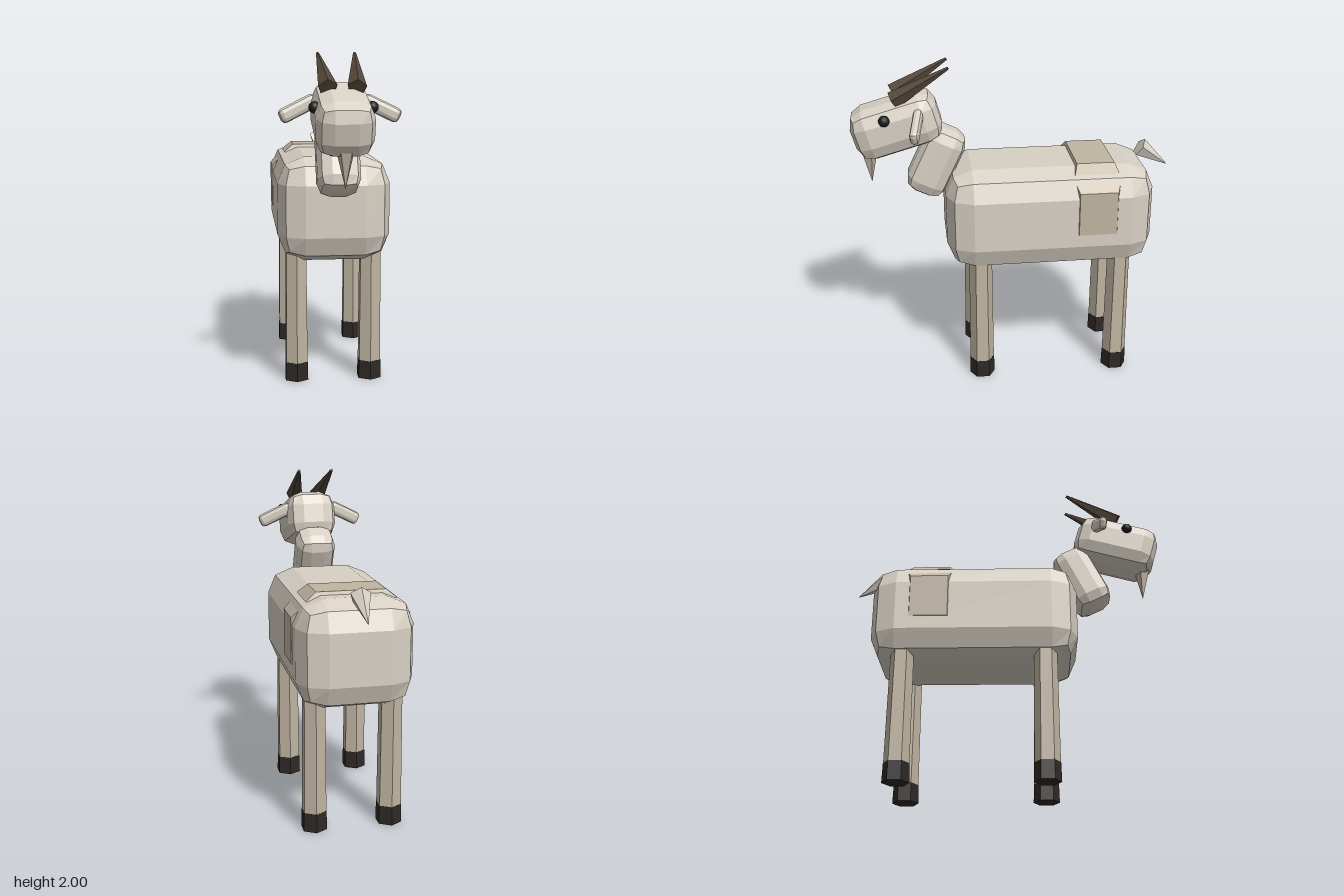
import * as THREE from 'three';
import { RoundedBoxGeometry } from 'three/addons/geometries/RoundedBoxGeometry.js';

const mat = (color) => new THREE.MeshStandardMaterial({ color, flatShading: true });

export function createModel() {
  const goat = new THREE.Group();
  goat.name = 'goat';
  const coat = mat(0xd8d0c4), tan = mat(0xc0b5a2), hoofMat = mat(0x2e2926);
  const hornMat = mat(0x54463a), eyeMat = mat(0x1c1c20);
  eyeMat.flatShading = false;

  const add = (name, geometry, material, pos = [0, 0, 0], rot = [0, 0, 0]) => {
    const mesh = new THREE.Mesh(geometry, material);
    mesh.name = name;
    mesh.position.set(...pos);
    mesh.rotation.set(...rot);
    goat.add(mesh);
    return mesh;
  };

  // Box with two facets along every edge
  const block = (name, [w, h, d], r, pos, rot) =>
    add(name, new RoundedBoxGeometry(w, h, d, 1, r), coat, pos, rot);

  // Faceted cone running from point a to point b
  const spike = (name, a, b, ra, rb, material) => {
    const from = new THREE.Vector3(...a), to = new THREE.Vector3(...b);
    const dir = to.clone().sub(from);
    const mesh = add(name, new THREE.CylinderGeometry(rb, ra, dir.length(), 5), material);
    mesh.position.copy(from).add(to).multiplyScalar(0.5);
    mesh.quaternion.setFromUnitVectors(new THREE.Vector3(0, 1, 0), dir.normalize());
  };

  // Body, neck and head
  block('body', [0.68, 0.63, 1.27], 0.16, [0, 1.075, -0.205]);
  block('neck', [0.25, 0.44, 0.25], 0.08, [0, 1.4, 0.475], [-0.45, 0, 0]);
  block('head', [0.32, 0.31, 0.53], 0.095, [0, 1.64, 0.705], [0.28, 0, 0]);

  // Coat patches: plates whose outer face is smaller than the base
  const patch = (name, w, h, d, shape) => {
    const geometry = new THREE.BoxGeometry(w, h, d);
    const p = geometry.attributes.position;
    const v = new THREE.Vector3();
    for (let i = 0; i < p.count; i++) {
      shape(v.fromBufferAttribute(p, i));
      p.setXYZ(i, v.x, v.y, v.z);
    }
    return add(name, geometry, tan);
  };
  patch('backPatch', 0.53, 0.05, 0.27, (v) => {
    if (v.y > 0) { v.x *= 0.77; v.z *= 0.85; }
  }).position.set(0, 1.385, -0.475);

  for (const s of [1, -1]) {
    const side = s > 0 ? 'left' : 'right';

    patch(side + 'SidePatch', 0.04, 0.31, 0.265, (v) => {
      if (v.x * s > 0) {
        v.z *= 0.87;
        if (v.y > 0) v.y -= 0.04;
      }
    }).position.set(s * 0.326, 1.155, -0.476);

    // Legs and hooves
    for (const [end, z] of [['Front', 0.23], ['Rear', -0.635]]) {
      add(side + end + 'Leg', new THREE.CylinderGeometry(0.07, 0.076, 0.76, 6), tan, [s * 0.227, 0.48, z]);
      add(side + end + 'Hoof', new THREE.CylinderGeometry(0.077, 0.08, 0.115, 6), hoofMat, [s * 0.227, 0.0575, z]);
    }

    // Eye, drooping ear and swept-back horn
    add(side + 'Eye', new THREE.SphereGeometry(0.033, 12, 8), eyeMat, [s * 0.158, 1.705, 0.772]);
    block(side + 'Ear', [0.23, 0.085, 0.055], 0.026, [s * 0.235, 1.69, 0.588], [0, s * -0.18, s * -0.45]);
    spike(side + 'Horn', [s * 0.08, 1.805, 0.715], [s * 0.107, 1.995, 0.39], 0.056, 0.009, hornMat);
  }

  // Beard and tail
  spike('beard', [0, 1.47, 0.875], [0, 1.275, 0.868], 0.05, 0.001, tan);
  spike('tail', [0, 1.427, -0.79], [0, 1.305, -0.972], 0.06, 0.001, coat);

  return goat;
}
